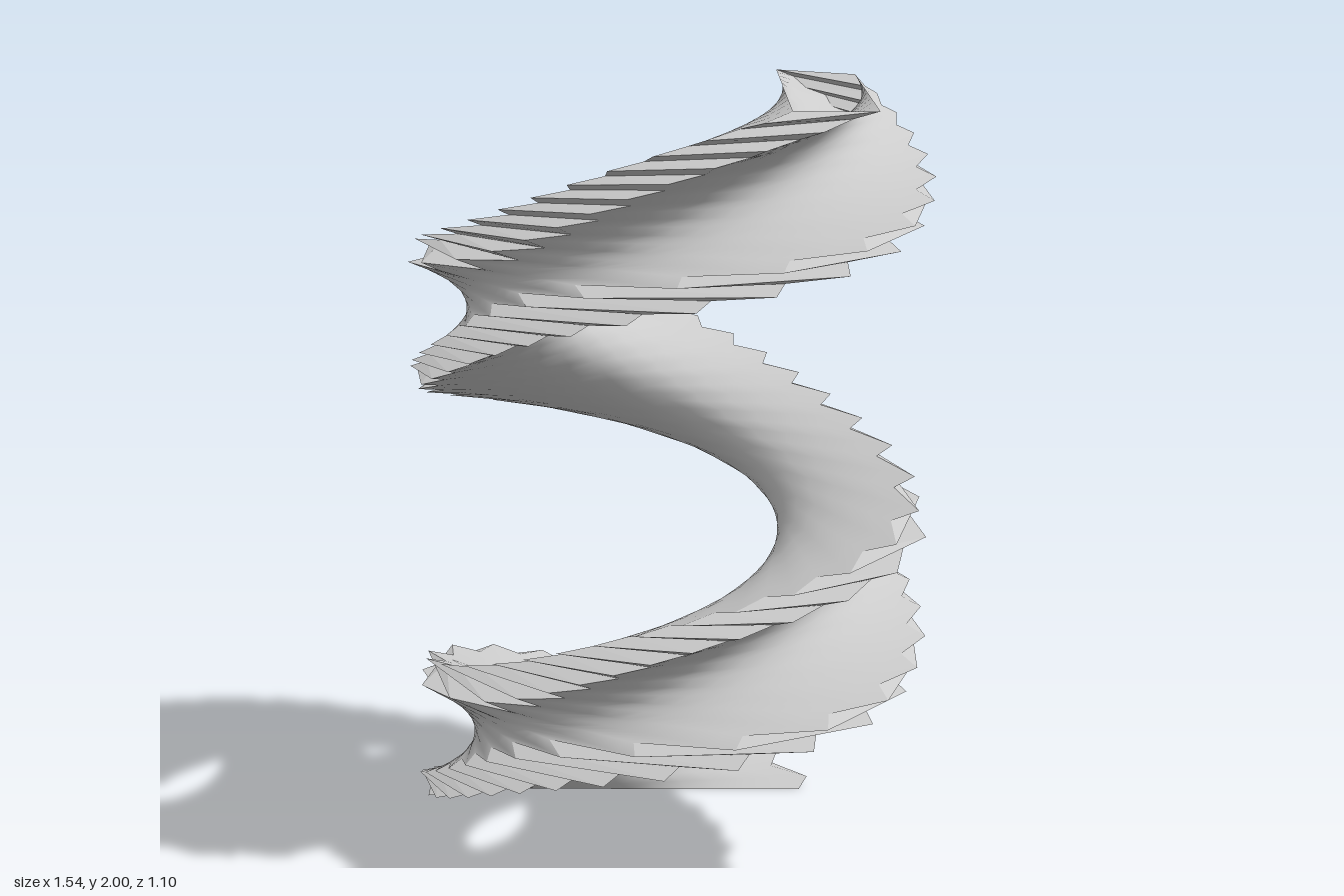
import * as THREE from 'three';

const HEIGHT = 2, SLICES = 100, COLUMNS = 12;
const INNER = 0.3, OUTER = 0.5;        // distance of the two faces from the axis
const RX = 0.77, RZ = 0.55;            // elliptical outline at the tooth tips

// Point on the twisted slab: side 0 = start edge, 1 = end edge of a face at distance d
function slabPoint(d, side, scale, y) {
  const phi = Math.PI + (y - 1) * 1.75 * Math.PI;
  const nx = Math.sin(phi), nz = Math.cos(phi), sx = nz, sz = -nx;
  const A = (RX * scale) ** 2, B = (RZ * scale) ** 2;
  const a = sx * sx / A + sz * sz / B;
  const b = d * (nx * sx / A + nz * sz / B);
  const c = d * d * (nx * nx / A + nz * nz / B) - 1;
  const root = Math.sqrt(Math.max(0, b * b - a * c));
  const t = (-b + (side ? root : -root)) / a;
  return new THREE.Vector3(d * nx + t * sx, y, d * nz + t * sz);
}

// Teeth: the outline grows and shrinks on alternate slices
function corner(d, side, i) {
  const even = i % 2 === 0;
  const scale = d === OUTER ? (even ? 1 : 0.93) : (even ? 0.88 : 0.97);
  return slabPoint(d, side, scale, HEIGHT * i / SLICES);
}

// Ruled sheet between two corner tracks
function sheet(name, from, to, columns, flatShading) {
  const positions = [], index = [];
  for (let i = 0; i <= SLICES; i++) {
    const p = corner(...from, i), q = corner(...to, i);
    for (let j = 0; j <= columns; j++) {
      positions.push(...p.clone().lerp(q, j / columns).toArray());
      if (i < SLICES && j < columns) {
        const k = i * (columns + 1) + j, up = k + columns + 1;
        index.push(k, k + 1, up + 1, k, up + 1, up);
      }
    }
  }
  const geometry = new THREE.BufferGeometry();
  geometry.setAttribute('position', new THREE.Float32BufferAttribute(positions, 3));
  geometry.setIndex(index);
  geometry.computeVertexNormals();
  const material = new THREE.MeshStandardMaterial({
    color: 0xcccccc, side: THREE.DoubleSide, flatShading });
  const mesh = new THREE.Mesh(geometry, material);
  mesh.name = name;
  return mesh;
}

export function createModel() {
  const group = new THREE.Group();
  group.name = 'twistedSpiral';
  // Smooth broad faces, open at top and bottom
  group.add(sheet('outerFace', [OUTER, 0], [OUTER, 1], COLUMNS, false));
  group.add(sheet('innerFace', [INNER, 1], [INNER, 0], COLUMNS, false));
  // Serrated narrow edges
  group.add(sheet('upperEdge', [OUTER, 1], [INNER, 1], 1, true));
  group.add(sheet('lowerEdge', [INNER, 0], [OUTER, 0], 1, true));
  return group;
}
